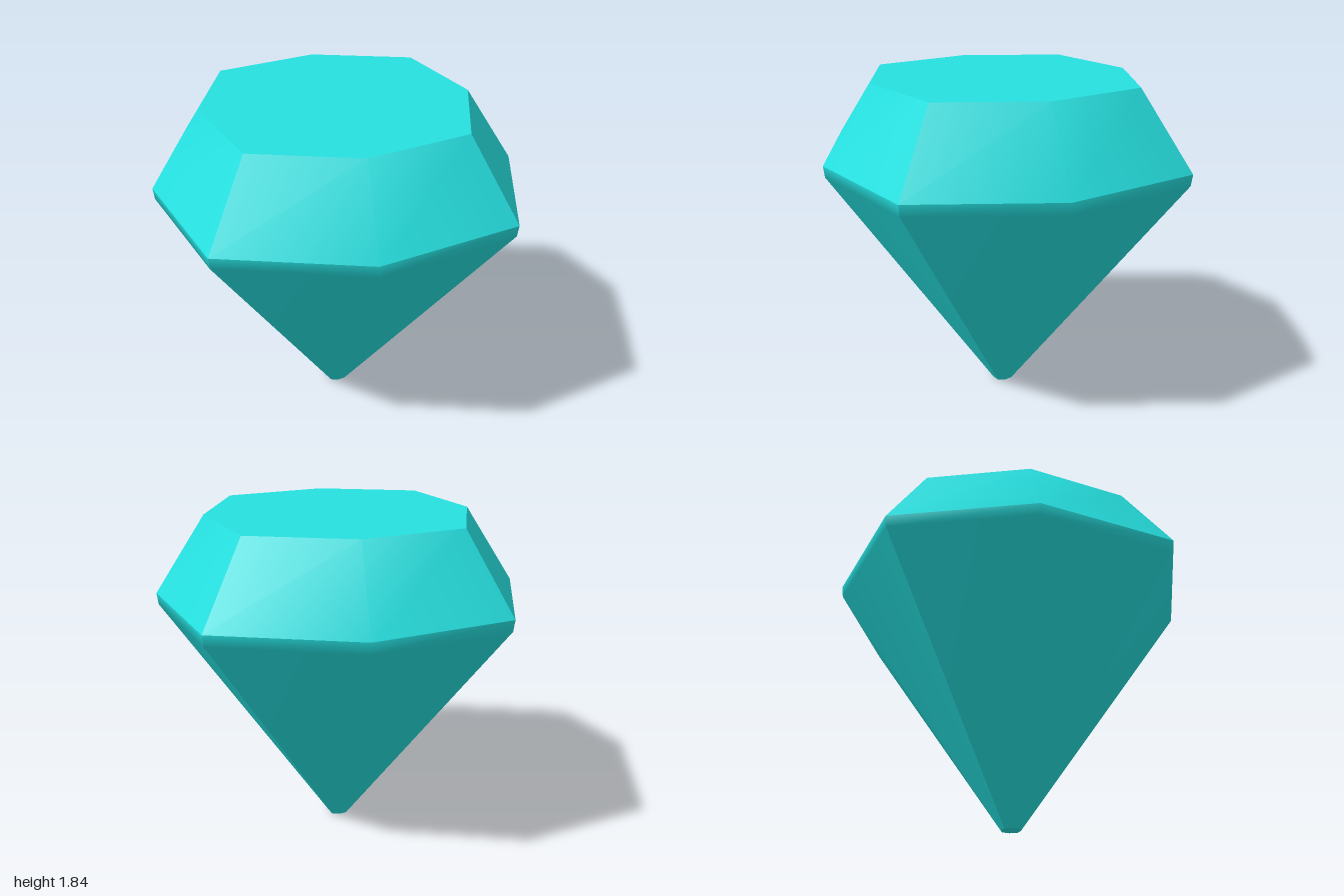
import * as THREE from 'three';

// Eight-sided outline: point k, with a scale for the ring and a height
const ringPoint = (k, scale, y) => {
  const a = (k * Math.PI) / 4;
  const r = scale * (k % 2 ? 0.77 * Math.SQRT2 : 1);
  return [Math.sin(a) * r, y, Math.cos(a) * r];
};

// One side of the gem: two facets blended smoothly, stacked through [scale, y] rings
function sideGeometry(rings, firstPoint) {
  const positions = [];
  const index = [];
  rings.forEach(([scale, y], row) => {
    for (let j = 0; j < 3; j++) {
      positions.push(...ringPoint(firstPoint + j, scale, y));
      if (row > 0 && j < 2) {
        const low = (row - 1) * 3 + j;
        const up = row * 3 + j;
        index.push(low, low + 1, up + 1, low, up + 1, up);
      }
    }
  });
  const geometry = new THREE.BufferGeometry();
  geometry.setAttribute('position', new THREE.Float32BufferAttribute(positions, 3));
  geometry.setIndex(index);
  geometry.computeVertexNormals();
  return geometry;
}

// Flat eight-sided cap facing up or down
function capGeometry(scale, y, up) {
  const positions = [];
  const index = [];
  for (let k = 0; k < 8; k++) {
    positions.push(...ringPoint(k, scale, y));
    if (k > 1) index.push(0, ...(up ? [k - 1, k] : [k, k - 1]));
  }
  const geometry = new THREE.BufferGeometry();
  geometry.setAttribute('position', new THREE.Float32BufferAttribute(positions, 3));
  geometry.setIndex(index);
  geometry.computeVertexNormals();
  return geometry;
}

export function createModel() {
  const gem = new THREE.Group();
  gem.name = 'gem';
  const turquoise = new THREE.MeshStandardMaterial({ color: 0x26e0e0 });
  turquoise.name = 'turquoise';

  const add = (name, geometry) => {
    const mesh = new THREE.Mesh(geometry, turquoise);
    mesh.name = name;
    gem.add(mesh);
  };

  const pavilion = [[0.055, 0], [0.992, 1.355], [1, 1.418]];
  const crown = [[1, 1.418], [0.725, 1.84]];

  // Four sides meeting at sharp corners
  ['front', 'left', 'back', 'right'].forEach((side, i) => {
    add(side + 'Pavilion', sideGeometry(pavilion, i * 2 - 1));
    add(side + 'Crown', sideGeometry(crown, i * 2 - 1));
  });

  // Flat top and blunt tip
  add('table', capGeometry(0.725, 1.84, true));
  add('tip', capGeometry(0.055, 0, false));
  return gem;
}
